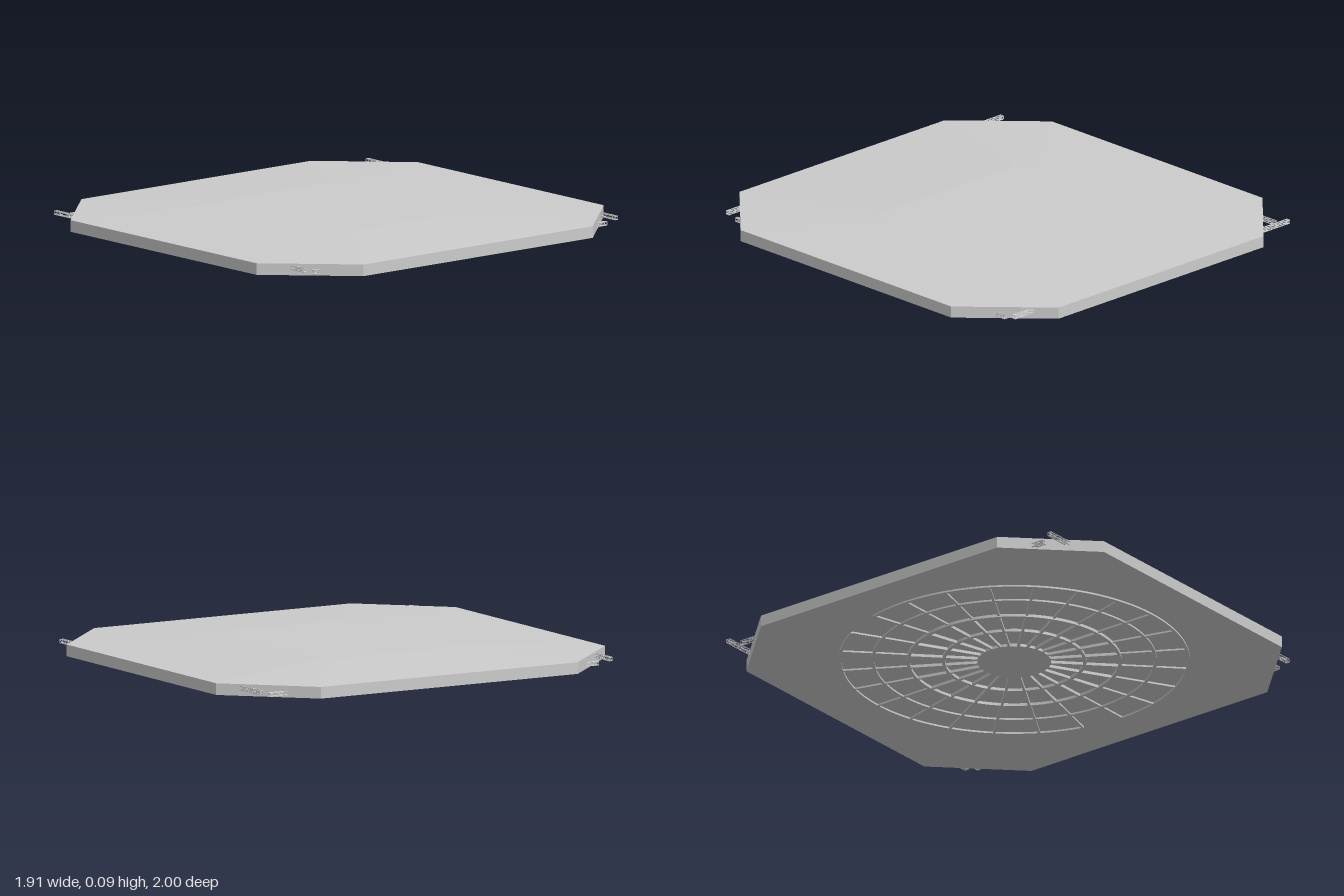
import * as THREE from 'three';
import { mergeGeometries } from 'three/addons/utils/BufferGeometryUtils.js';

const grey = new THREE.MeshStandardMaterial({ color: 0xcccccc, flatShading: true });

function addMesh(parent, name, geometry) {
  const mesh = new THREE.Mesh(geometry, grey);
  mesh.name = name;
  parent.add(mesh);
  return mesh;
}

// Chamfered rectangle: (xo, zi) and (xi, zo) mirrored into all four corners
function octagon(y, xo, xi, zo, zi) {
  return [[xo, zi], [xi, zo], [-xi, zo], [-xo, zi], [-xo, -zi], [-xi, -zo], [xi, -zo], [xo, -zi]]
    .map(([x, z]) => new THREE.Vector3(x, y, z));
}

// Skin a stack of matching loops, closed at the bottom and top
function loft(loops) {
  const points = [];
  const n = loops[0].length;
  for (let k = 0; k < loops.length - 1; k++) {
    for (let i = 0; i < n; i++) {
      const j = (i + 1) % n;
      const a = loops[k][i], b = loops[k][j], c = loops[k + 1][j], d = loops[k + 1][i];
      points.push(a, c, b, a, d, c);
    }
  }
  const bottom = loops[0], top = loops[loops.length - 1];
  for (let i = 1; i < n - 1; i++) {
    points.push(bottom[0], bottom[i], bottom[i + 1], top[0], top[i + 1], top[i]);
  }
  const geometry = new THREE.BufferGeometry().setFromPoints(points);
  geometry.computeVertexNormals();
  return geometry;
}

// Thin bar between two points
function bar(a, b, radius) {
  const dir = b.clone().sub(a);
  const geometry = new THREE.CylinderGeometry(radius, radius, dir.length(), 5);
  const turn = new THREE.Quaternion().setFromUnitVectors(new THREE.Vector3(0, 1, 0), dir.clone().normalize());
  geometry.applyQuaternion(turn);
  const mid = a.clone().add(b).multiplyScalar(0.5);
  return geometry.translate(mid.x, mid.y, mid.z);
}

// Square lattice truss along x: four chords with zigzag bracing on each face
function trussGeometry(length, half, bays) {
  const corners = [[half, half], [half, -half], [-half, -half], [-half, half]];
  const at = (t, [y, z]) => new THREE.Vector3((t - 0.5) * length, y, z);
  const parts = [];
  corners.forEach((c, i) => {
    const next = corners[(i + 1) % 4];
    parts.push(bar(at(0, c), at(1, c), 0.0024));
    parts.push(bar(at(0, c), at(0, next), 0.0016), bar(at(1, c), at(1, next), 0.0016));
    for (let k = 0; k < bays; k++) {
      const [from, to] = k % 2 ? [next, c] : [c, next];
      parts.push(bar(at(k / bays, from), at((k + 1) / bays, to), 0.0014));
    }
  });
  return mergeGeometries(parts);
}

// Flat ring segment lying between two heights
function arcBeam(radius, width, start, sweep, y0, y1) {
  const shape = new THREE.Shape();
  shape.absarc(0, 0, radius + width / 2, start, start + sweep, false);
  shape.absarc(0, 0, radius - width / 2, start + sweep, start, true);
  const geometry = new THREE.ExtrudeGeometry(shape, { depth: y1 - y0, bevelEnabled: false, curveSegments: 4 });
  return geometry.rotateX(-Math.PI / 2).translate(0, y0, 0);
}

export function createModel() {
  const model = new THREE.Group();
  model.name = 'canopy';

  // Octagonal canopy with a gently pitched top
  addMesh(model, 'canopyBody', loft([
    octagon(0.013, 0.957, 0.63, 1, 0.66),
    octagon(0.065, 0.957, 0.63, 1, 0.66),
    octagon(0.09, 0.45, 0.41, 0.33, 0.26),
  ]));

  // Trusses crossing the canopy, their ends showing at the cut corners
  const trusses = new THREE.Group();
  trusses.name = 'trusses';
  model.add(trusses);
  const crossTruss = trussGeometry(1.69, 0.0075, 56);
  for (const [name, z] of [['backTruss', -0.913], ['frontTruss', 0.883]]) {
    addMesh(trusses, name, crossTruss).position.set(-0.025, 0.048, z);
  }
  const sideTruss = trussGeometry(1.69, 0.0075, 56).rotateY(Math.PI / 2);
  for (const [name, x] of [['rightTruss', -0.843], ['leftTruss', 0.813]]) {
    addMesh(trusses, name, sideTruss).position.set(x, 0.031, -0.012);
  }

  // Radial grid underneath: rings and spokes, with two outer cells left open
  const grid = new THREE.Group();
  grid.name = 'undersideGrid';
  model.add(grid);
  const spokes = 24;
  const step = (Math.PI * 2) / spokes;
  const radii = [0.155, 0.31, 0.465, 0.62, 0.765];
  const width = 0.014;
  const openCells = [0, 10];
  const bottoms = [0, 0, 0, 0.005, 0.005];

  radii.forEach((radius, k) => {
    const parts = [];
    for (let i = 0; i < spokes; i++) {
      if (k === radii.length - 1 && openCells.includes(i)) continue;
      parts.push(arcBeam(radius, width, i * step, step, bottoms[k], 0.014));
    }
    addMesh(grid, 'gridRing' + (k + 1), mergeGeometries(parts));
  });

  const spokeParts = [];
  for (let i = 0; i < spokes; i++) {
    for (let k = 0; k < radii.length - 1; k++) {
      const y0 = bottoms[k + 1];
      const box = new THREE.BoxGeometry(radii[k + 1] - radii[k], 0.014 - y0, 0.011);
      box.translate((radii[k] + radii[k + 1]) / 2, (0.014 + y0) / 2, 0);
      spokeParts.push(box.rotateY(i * step));
    }
  }
  addMesh(grid, 'gridSpokes', mergeGeometries(spokeParts));

  // Central disc closing the grid
  addMesh(grid, 'centreDisc', new THREE.CylinderGeometry(0.155, 0.155, 0.014, 48)).position.y = 0.007;

  return model;
}
